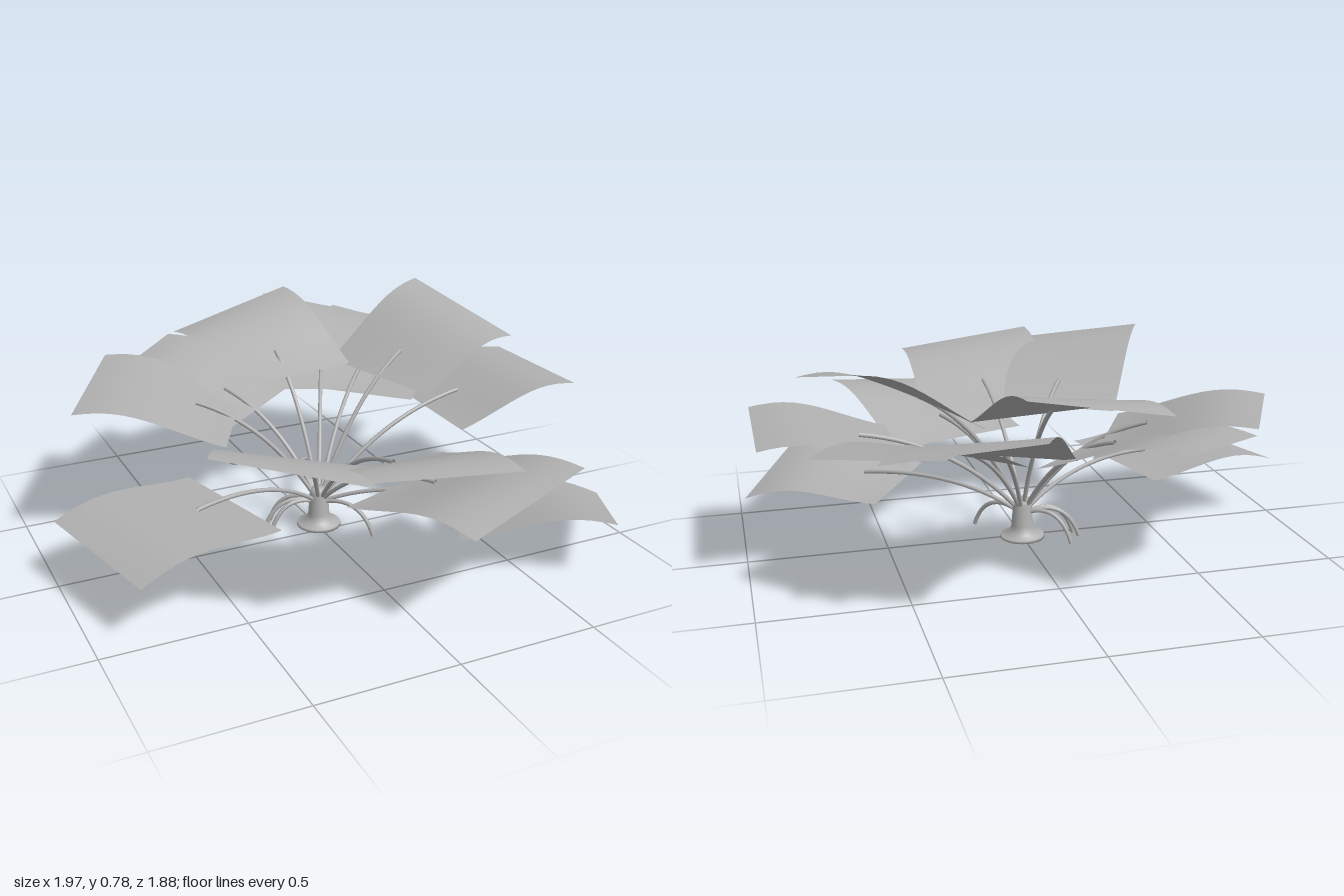
import * as THREE from 'three';

const grey = new THREE.MeshStandardMaterial({ color: 0xb0b0b0, side: THREE.DoubleSide });
grey.name = 'plantGrey';

const BASE = new THREE.Vector3(0.005, 0.1, -0.035);
const ARCH = 0.04;

// Each leaf: centre x, centre z, heading in degrees, width, length,
// then heights of the inner edge, outer left corner and outer right corner
const LEAVES = [
  [-0.035, -0.48, -98.4, 0.51, 0.48, 0.54, 0.63, 0.735],
  [0.505, -0.18, -15.9, 0.52, 0.46, 0.535, 0.78, 0.66],
  [-0.495, -0.32, -152, 0.56, 0.535, 0.43, 0.54, 0.57],
  [-0.30, -0.50, -130, 0.50, 0.55, 0.415, 0.50, 0.56],
  [0.71, -0.045, 0, 0.515, 0.49, 0.405, 0.50, 0.51],
  [0.275, -0.58, -63.7, 0.51, 0.55, 0.43, 0.66, 0.56],
  [0.44, -0.47, -44.8, 0.51, 0.535, 0.42, 0.60, 0.52],
  [-0.652, 0.16, 165.6, 0.555, 0.55, 0.235, 0.21, 0.23],
  [-0.316, 0.49, 118.9, 0.49, 0.50, 0.41, 0.57, 0.65],
  [0.023, 0.615, 90, 0.535, 0.50, 0.41, 0.54, 0.605],
  [0.247, 0.587, 71.6, 0.556, 0.553, 0.30, 0.45, 0.38],
  [0.632, 0.444, 30.2, 0.50, 0.53, 0.14, 0.11, 0.225],
];

// Ground points of the bare drooping stems, as x and z
const DROOPING = [[-0.2, -0.08], [-0.19, -0.04], [-0.15, -0.145], [0.145, 0.14]];

// Point on a leaf: u runs from inner to outer edge, v from left to right
function leafPoint([x, z, heading, width, length, yInner, yLeft, yRight], u, v) {
  const angle = THREE.MathUtils.degToRad(heading);
  const dx = Math.cos(angle), dz = Math.sin(angle);
  const out = (u - 0.5) * length, side = (v - 0.5) * width;
  const yOuter = THREE.MathUtils.lerp(yLeft, yRight, v);
  const y = THREE.MathUtils.lerp(yInner, yOuter, u) + ARCH * Math.sin(Math.PI * Math.pow(u, 1.5));
  return new THREE.Vector3(x + dx * out - dz * side, y, z + dz * out + dx * side);
}

function makeLeaf(leaf) {
  const geo = new THREE.PlaneGeometry(1, 1, 6, 12);
  const pos = geo.attributes.position;
  for (let i = 0; i < pos.count; i++) {
    const p = leafPoint(leaf, pos.getY(i) + 0.5, pos.getX(i) + 0.5);
    pos.setXYZ(i, p.x, p.y, p.z);
  }
  geo.computeVertexNormals();
  return new THREE.Mesh(geo, grey);
}

function makeStem(end, reach, controlY) {
  const control = BASE.clone().lerp(end, reach).setY(controlY);
  const curve = new THREE.QuadraticBezierCurve3(BASE, control, end);
  return new THREE.Mesh(new THREE.TubeGeometry(curve, 16, 0.008, 8), grey);
}

export function createModel() {
  const model = new THREE.Group();
  model.name = 'plant';
  const add = (mesh, name) => {
    mesh.name = name;
    model.add(mesh);
  };

  // Trunk with a flared foot
  const profile = [[0, 0.012], [0.05, 0.002], [0.083, 0.012], [0.08, 0.022], [0.048, 0.03],
    [0.04, 0.06], [0.034, 0.14], [0.028, 0.16], [0, 0.165]];
  const trunk = new THREE.Mesh(
    new THREE.LatheGeometry(profile.map((p) => new THREE.Vector2(...p)), 24), grey);
  trunk.position.set(BASE.x, 0, BASE.z);
  add(trunk, 'trunk');

  // Leaves, each carried by an arching stem
  LEAVES.forEach((leaf, i) => {
    add(makeLeaf(leaf), `leaf${i + 1}`);
    const end = leafPoint(leaf, 0.27, 0.5);
    end.y += 0.006;
    add(makeStem(end, 0.4, BASE.y + (end.y - BASE.y) * 0.55 + 0.1), `leafStem${i + 1}`);
  });

  // Drooping bare stems
  DROOPING.forEach(([x, z], i) => {
    add(makeStem(new THREE.Vector3(x, 0.01, z), 0.75, 0.17), `droopingStem${i + 1}`);
  });

  return model;
}
